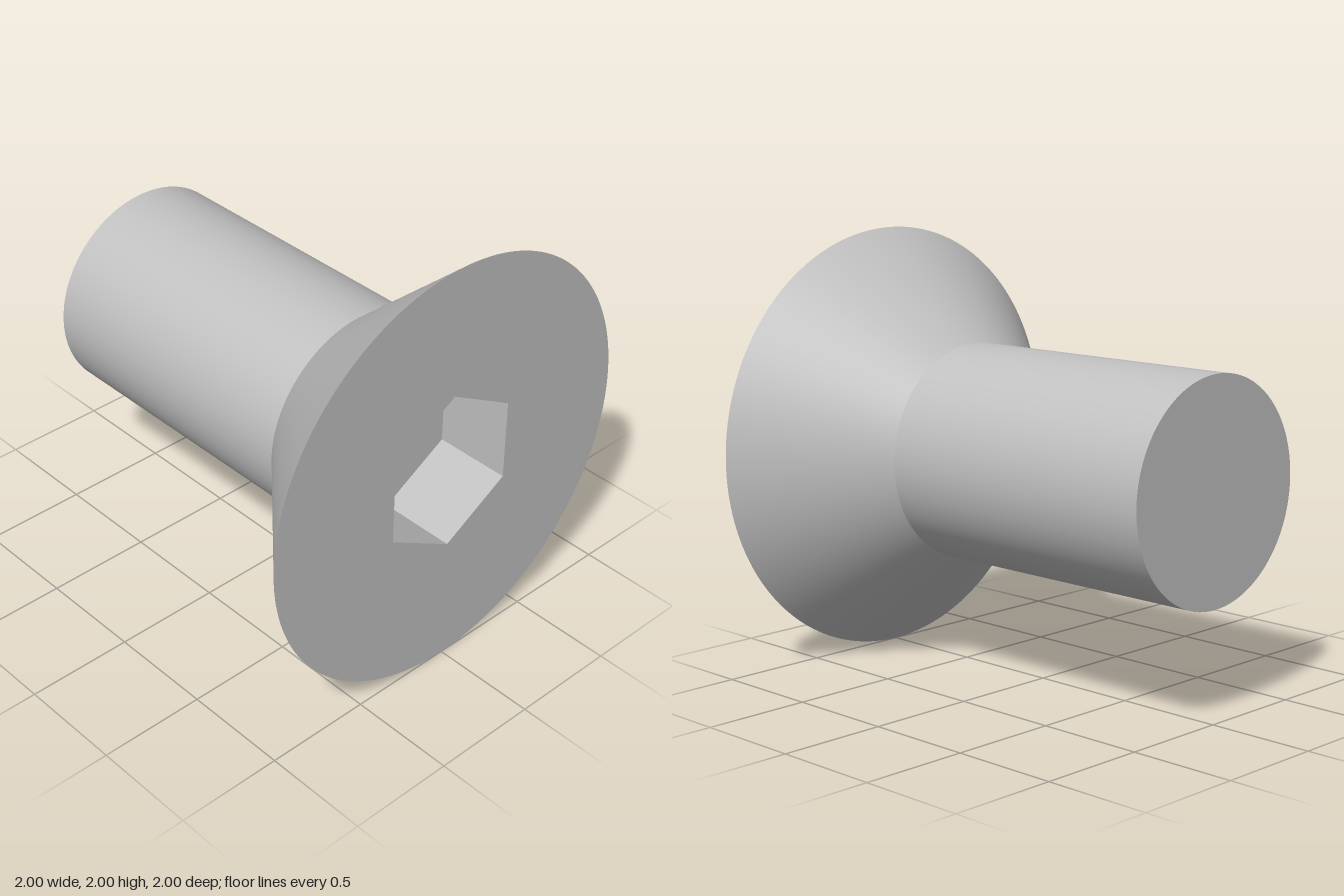
import * as THREE from 'three';

const SEGMENTS = 128;
const AXIS_Y = 1;
const TAIL_X = -1, NECK_X = 0.435, FACE_X = 1;
const SHAFT_R = 0.5, HEAD_R = 1, SOCKET_R = 0.386, SOCKET_DEPTH = 0.365;

export function createModel() {
  const model = new THREE.Group();
  model.name = 'countersunkScrew';
  const steel = new THREE.MeshStandardMaterial({ color: 0xc0c0c0 });
  steel.name = 'steel';

  const add = (name, geometry, x) => {
    const mesh = new THREE.Mesh(geometry, steel);
    mesh.name = name;
    mesh.position.set(x, AXIS_Y, 0);
    model.add(mesh);
  };

  // Open tube lying along x, from x0 (radius r0) to x1 (radius r1)
  const sleeve = (name, x0, r0, x1, r1) => add(name,
    new THREE.CylinderGeometry(r1, r0, x1 - x0, SEGMENTS, 1, true).rotateZ(-Math.PI / 2),
    (x0 + x1) / 2);

  // Plain shaft, its flat end and the conical head
  sleeve('shaft', TAIL_X, SHAFT_R, NECK_X, SHAFT_R);
  add('shaftEnd', new THREE.CircleGeometry(SHAFT_R, SEGMENTS).rotateY(-Math.PI / 2), TAIL_X);
  sleeve('headCone', NECK_X, SHAFT_R, FACE_X, HEAD_R);

  // Flat head face with a hexagonal opening, corners at top and bottom
  const face = new THREE.Shape().absarc(0, 0, HEAD_R, 0, Math.PI * 2);
  const corners = [];
  for (let i = 0; i < 6; i++) {
    const a = Math.PI / 2 - i * Math.PI / 3;
    corners.push(new THREE.Vector2(Math.cos(a) * SOCKET_R, Math.sin(a) * SOCKET_R));
  }
  face.holes.push(new THREE.Path(corners));
  add('headFace', new THREE.ShapeGeometry(face, SEGMENTS).rotateY(Math.PI / 2), FACE_X);

  // Socket walls: a hexagonal tube mirrored so its faces look inward
  const walls = new THREE.CylinderGeometry(SOCKET_R, SOCKET_R, SOCKET_DEPTH, 6, 1, true, Math.PI / 6)
    .rotateZ(-Math.PI / 2).scale(1, 1, -1).toNonIndexed();
  walls.computeVertexNormals();
  add('socketWalls', walls, FACE_X - SOCKET_DEPTH / 2);

  // Socket floor
  add('socketFloor', new THREE.CircleGeometry(SOCKET_R, 6, Math.PI / 2).rotateY(Math.PI / 2),
    FACE_X - SOCKET_DEPTH);

  return model;
}
